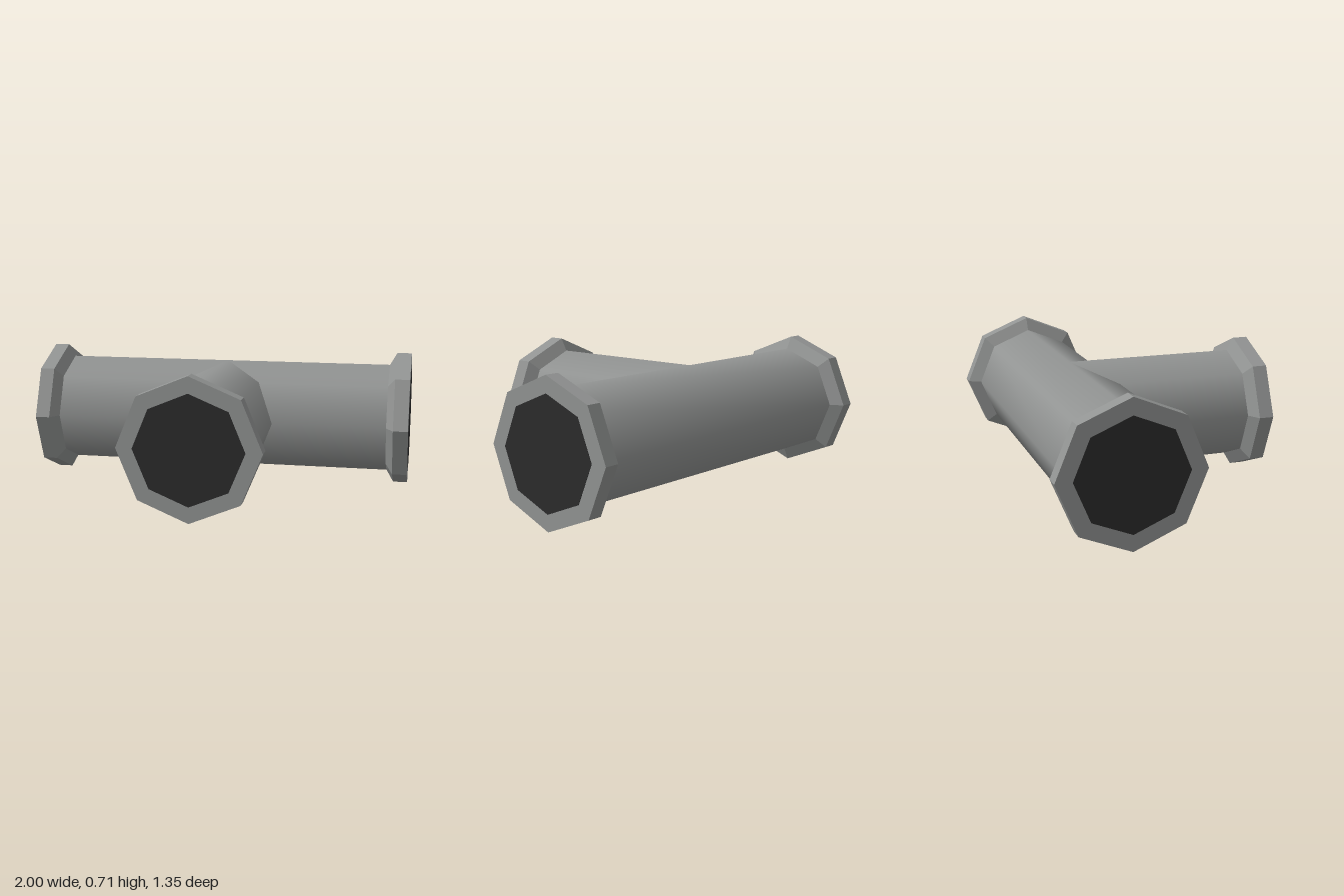
import * as THREE from 'three';

const SIDES = 8, TUBE_R = 0.29, FLANGE_R = 0.355, OPENING_R = 0.273;

export function createModel() {
  const metal = new THREE.MeshStandardMaterial({ color: 0x929493 });
  metal.name = 'grey metal';
  const dark = new THREE.MeshStandardMaterial({ color: 0x2c2c2c });
  dark.name = 'dark opening';

  const model = new THREE.Group();
  model.name = 'pipeTee';

  function add(parent, name, geometry, material, y = 0) {
    const mesh = new THREE.Mesh(geometry, material);
    mesh.name = name;
    mesh.position.y = y;
    parent.add(mesh);
    return mesh;
  }

  // hard-edged ring section standing on its local y axis
  function faceted(top, bottom, height, open) {
    const g = new THREE.CylinderGeometry(top, bottom, height, SIDES, 1, open).toNonIndexed();
    g.computeVertexNormals();
    return g;
  }

  // flange along +y: taper, rim and dark opening, ending at the given distance
  function flange(name, end) {
    const group = new THREE.Group();
    group.name = name;
    add(group, 'taper', faceted(FLANGE_R, TUBE_R, 0.037, true), metal, end - 0.0965);
    add(group, 'rim', faceted(FLANGE_R, FLANGE_R, 0.076, false), metal, end - 0.04);
    const opening = new THREE.CylinderGeometry(OPENING_R, OPENING_R, 0.004, SIDES);
    add(group, 'opening', opening, dark, end - 0.002);
    return group;
  }

  // smooth-shaded eight-sided tubes
  const centre = new THREE.Vector3(0, 0.355, -0.32);
  const run = new THREE.CylinderGeometry(TUBE_R, TUBE_R, 1.8, SIDES, 1, true).rotateZ(Math.PI / 2);
  add(model, 'mainTube', run, metal).position.copy(centre);
  const branch = new THREE.CylinderGeometry(TUBE_R, TUBE_R, 0.89, SIDES, 1, true)
    .translate(0, 0.445, 0).rotateX(Math.PI / 2);
  add(model, 'branchTube', branch, metal).position.copy(centre);

  // flanges on the two ends of the run and on the branch
  for (const side of [1, -1]) {
    const end = flange(side > 0 ? 'leftFlange' : 'rightFlange', 1);
    end.position.copy(centre);
    end.rotation.z = -side * Math.PI / 2;
    model.add(end);
  }
  const front = flange('frontFlange', 0.995);
  front.position.copy(centre);
  front.rotation.x = Math.PI / 2;
  model.add(front);

  return model;
}
